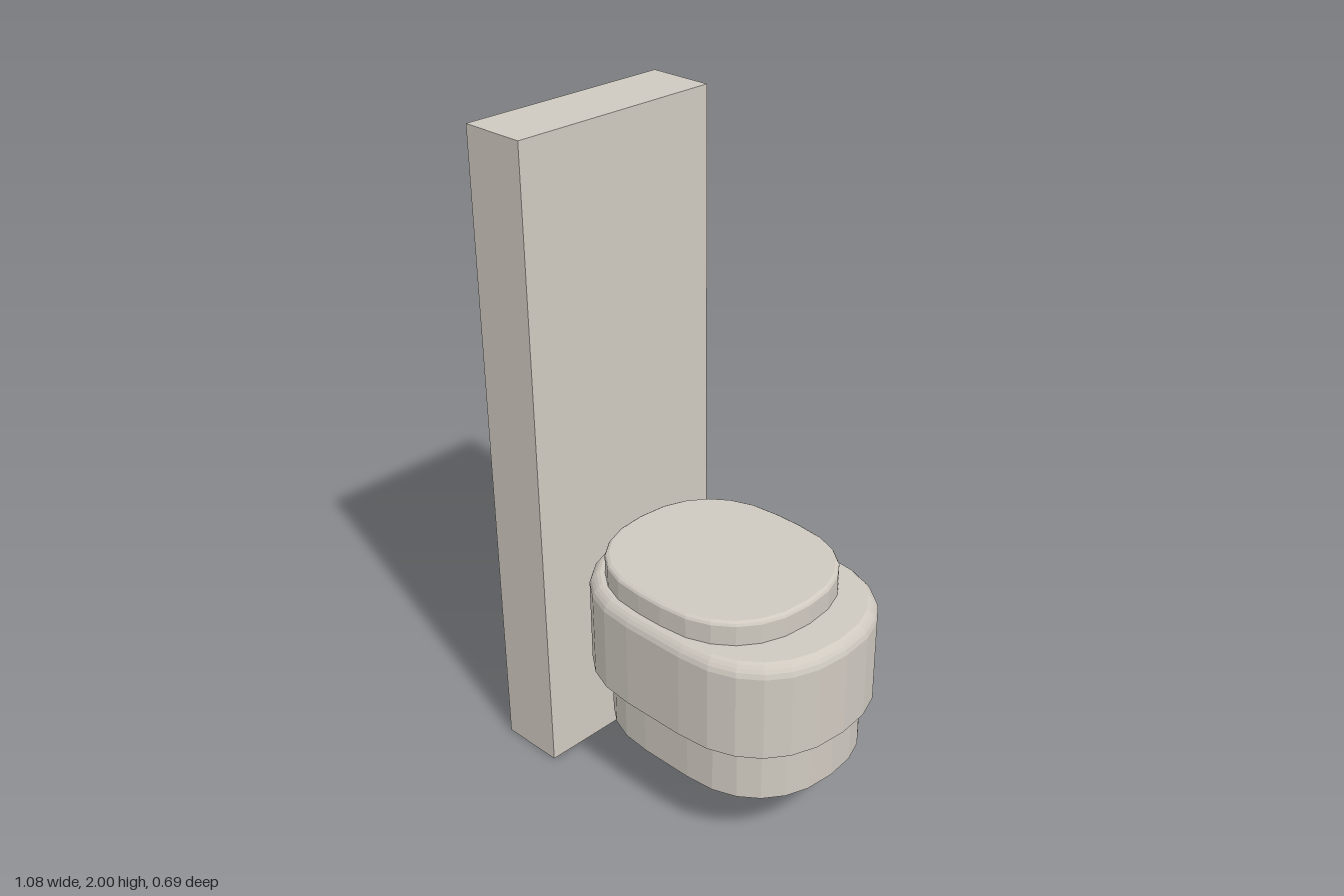
import * as THREE from 'three';

const ARC = 12; // facets along each rounded end

// Rounded-oval ring: soft superelliptic ends joined by straight sides
function ovalRing(x0, x1, halfZ, inset, y) {
  const r = halfZ - inset, cl = x0 + halfZ, cr = x1 - halfZ;
  const soft = v => Math.sign(v) * Math.pow(Math.abs(v), 2 / 2.3);
  const ring = [];
  for (let end = 0; end < 2; end++) {
    for (let i = 0; i <= ARC; i++) {
      const a = -Math.PI / 2 + Math.PI * (end + i / ARC);
      const c = Math.abs(Math.cos(a)) < 1e-9 ? 0 : Math.cos(a);
      const s = Math.abs(Math.sin(a)) < 1e-9 ? 0 : Math.sin(a);
      ring.push([(end ? cl : cr) + r * soft(c), y, r * soft(s)]);
    }
  }
  return ring;
}

// Closed solid through oval rings; profile holds [inset, y] from bottom to top
function ovalSolid(x0, x1, halfZ, profile) {
  const rings = profile.map(([inset, y]) => ovalRing(x0, x1, halfZ, inset, y));
  const n = rings[0].length, pos = [];
  const tri = (a, b, c) => pos.push(...a, ...b, ...c);
  for (let k = 0; k < rings.length - 1; k++) {
    for (let i = 0; i < n; i++) {
      const j = (i + 1) % n, lo = rings[k], hi = rings[k + 1];
      tri(lo[i], hi[i], hi[j]);
      tri(lo[i], hi[j], lo[j]);
    }
  }
  const cx = (x0 + x1) / 2, bottom = rings[0], top = rings[rings.length - 1];
  for (let i = 0; i < n; i++) {
    const j = (i + 1) % n;
    tri([cx, bottom[0][1], 0], bottom[i], bottom[j]);
    tri([cx, top[0][1], 0], top[j], top[i]);
  }
  const geo = new THREE.BufferGeometry();
  geo.setAttribute('position', new THREE.Float32BufferAttribute(pos, 3));
  geo.computeVertexNormals();
  return geo;
}

export function createModel() {
  const model = new THREE.Group();
  const ceramic = new THREE.MeshStandardMaterial({ name: 'warm grey', color: 0xcfc9c0 });
  const brass = new THREE.MeshStandardMaterial({ name: 'pale brass', color: 0xd2c298 });
  const add = (name, geo, mat, x = 0, y = 0, z = 0) => {
    const mesh = new THREE.Mesh(geo, mat);
    mesh.name = name;
    mesh.position.set(x, y, z);
    model.add(mesh);
  };

  // Upright wall panel with a small plate on its back
  add('wallPanel', new THREE.BoxGeometry(0.207, 2, 0.692), ceramic, -0.4305, 1, 0);
  add('backPlate', new THREE.BoxGeometry(0.009, 0.137, 0.258), brass, -0.5385, 1.602, 0);

  // Wall-hung bowl: narrow base, wide body with rounded rim, raised lid
  add('bowlBase', ovalSolid(-0.258, 0.504, 0.295, [[0, 0.21], [0, 0.386]]), ceramic);
  add('bowlBody', ovalSolid(-0.326, 0.54, 0.33, [
    [0, 0.386], [0, 0.655], [0.005, 0.67], [0.012, 0.68], [0.02, 0.688], [0.03, 0.693],
  ]), ceramic);
  add('lid', ovalSolid(-0.275, 0.402, 0.296, [
    [0, 0.69], [0, 0.755], [0.004, 0.762], [0.012, 0.767],
  ]), ceramic);
  return model;
}
